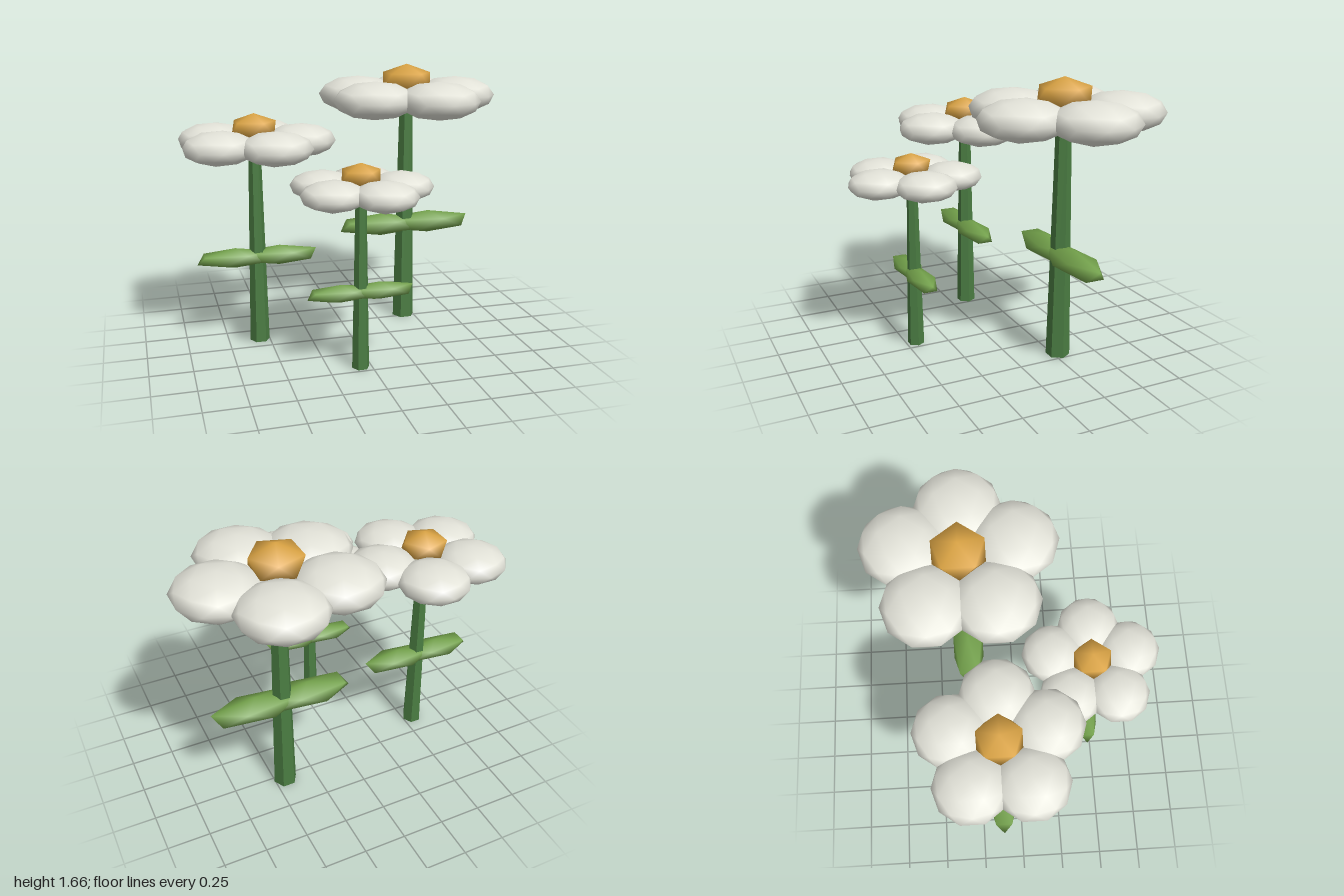
import * as THREE from 'three';

const mat = (color, flatShading = false) => new THREE.MeshStandardMaterial({ color, flatShading });

// Smooth-shaded low-poly ball with one corner pointing straight up
function ball(detail) {
  const g = new THREE.IcosahedronGeometry(1, detail);
  g.rotateX(-Math.atan2((1 + Math.sqrt(5)) / 2, 1));
  g.rotateY(Math.PI / 2);
  g.setAttribute('normal', g.attributes.position.clone());
  return g;
}

export function createModel() {
  const root = new THREE.Group();
  root.name = 'flowers';

  const petalMat = mat(0xe2e2d8);
  const centreMat = mat(0xdba444);
  const stemMat = mat(0x4a7c42, true);
  const leafMat = mat(0x72a04a);
  const coarse = ball(0);
  const fine = ball(1);

  const add = (parent, name, geometry, material, pos, scale) => {
    const m = new THREE.Mesh(geometry, material);
    m.name = name;
    m.position.set(...pos);
    m.scale.set(...scale);
    parent.add(m);
    return m;
  };

  // One flower: s scales thickness and head, h is the height of the petals
  function flower(name, x, z, h, s) {
    const f = new THREE.Group();
    f.name = name;
    f.position.set(x, 0, z);

    // Tapered six-sided stem
    const stem = new THREE.CylinderGeometry(0.043 * s, 0.071 * s, h, 6);
    stem.rotateY(Math.PI / 6);
    add(f, 'stem', stem, stemMat, [0, h / 2, 0], [1, 1, 1]);

    // Pair of leaves crossing the stem
    for (const side of [-1, 1]) {
      add(f, side > 0 ? 'leftLeaf' : 'rightLeaf', coarse, leafMat,
        [side * 0.16 * s, h * 0.434, 0], [0.302 * s, 0.073 * s, 0.109 * s]);
    }

    // Five flattened petals in a ring
    for (let i = 0; i < 5; i++) {
      const a = (i / 5) * Math.PI * 2;
      add(f, 'petal', fine, petalMat,
        [Math.cos(a) * 0.325 * s, h, Math.sin(a) * 0.325 * s],
        [0.2525 * s, 0.115 * s, 0.2525 * s]);
    }

    // Domed flower centre
    add(f, 'flowerCentre', coarse, centreMat, [0, h + 0.1 * s, 0], [0.173 * s, 0.1 * s, 0.173 * s]);
    root.add(f);
  }

  flower('tallFlower', 0.435, -0.28, 1.465, 1);
  flower('middleFlower', -0.56, -0.115, 1.245, 0.845);
  flower('shortFlower', -0.065, 0.44, 1.058, 0.715);
  return root;
}
